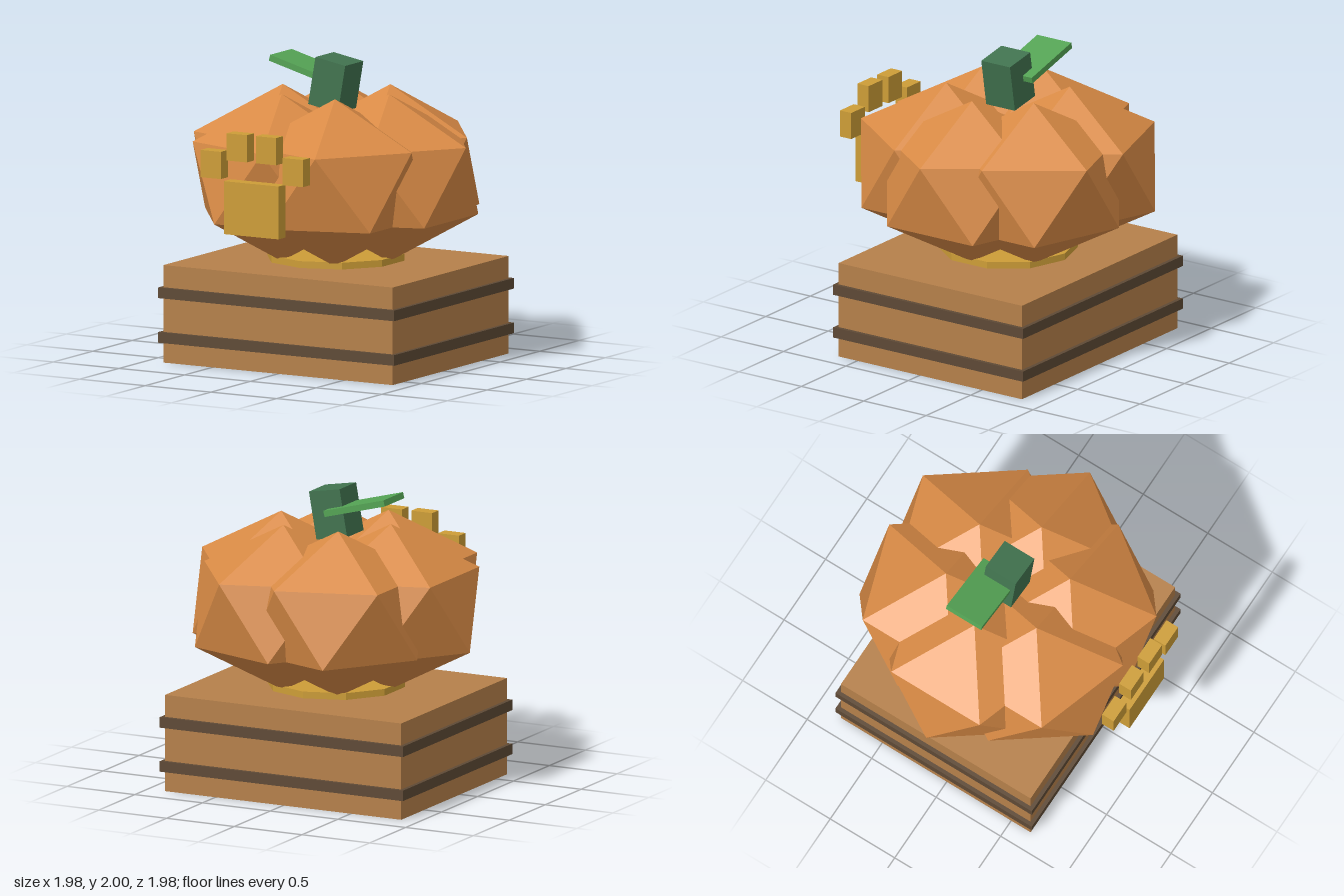
import * as THREE from 'three';

const CENTER_Z = -0.085;

function material(name, color) {
  const m = new THREE.MeshStandardMaterial({ color, flatShading: true });
  m.name = name;
  return m;
}

export function createModel() {
  const root = new THREE.Group();
  root.name = 'pumpkinOnCrate';

  const wood = material('wood', 0xb5804a);
  const darkWood = material('darkWood', 0x5e4935);
  const gold = material('gold', 0xcd9d37);
  const orange = material('pumpkinOrange', 0xd88a45);
  const stemGreen = material('stemGreen', 0x41734f);
  const leafGreen = material('leafGreen', 0x54a354);

  function add(name, geometry, mat, x, y, z, parent = root) {
    const mesh = new THREE.Mesh(geometry, mat);
    mesh.name = name;
    mesh.position.set(x, y, z);
    parent.add(mesh);
    return mesh;
  }
  const box = (w, h, d) => new THREE.BoxGeometry(w, h, d);

  // Crate with two protruding bands
  add('crate', box(1.744, 0.645, 1.47), wood, 0, 0.3225, CENTER_Z);
  for (const y of [0.168, 0.463]) {
    add('crateBand', box(1.796, 0.07, 1.522), darkWood, 0, y, CENTER_Z);
  }

  // Ten-sided plate under the pumpkin
  add('plate', new THREE.CylinderGeometry(0.457, 0.457, 0.045, 10), gold, 0, 0.683, CENTER_Z);

  // Pumpkin: six overlapping lobes, each standing on a vertex
  const pumpkin = new THREE.Group();
  pumpkin.name = 'pumpkin';
  root.add(pumpkin);
  const lobe = new THREE.IcosahedronGeometry(1, 0);
  lobe.rotateZ(-Math.atan(2 / (1 + Math.sqrt(5))));
  lobe.scale(0.652, 0.5525, 0.652);
  for (let i = 0; i < 6; i++) {
    const a = (i * Math.PI) / 3;
    add('pumpkinLobe', lobe, orange,
      0.405 * Math.cos(a), 1.226, CENTER_Z + 0.405 * Math.sin(a), pumpkin);
  }

  // Tilted stem and leaf
  const stem = add('stem', box(0.23, 0.32, 0.23), stemGreen, -0.002, 1.822, CENTER_Z);
  stem.rotation.z = THREE.MathUtils.degToRad(-10);
  const leaf = add('leaf', box(0.46, 0.041, 0.273), leafGreen, -0.232, 1.9, -0.135);
  leaf.rotation.z = THREE.MathUtils.degToRad(-15);

  // Paw emblem floating in front
  const paw = new THREE.Group();
  paw.name = 'pawEmblem';
  root.add(paw);
  add('pawPad', box(0.416, 0.35, 0.09), gold, 0, 1.13, 0.946, paw);
  for (const side of [-1, 1]) {
    add('innerToe', box(0.154, 0.18, 0.09), gold, side * 0.111, 1.533, 0.943, paw);
    add('outerToe', box(0.154, 0.18, 0.09), gold, side * 0.312, 1.405, 0.939, paw);
  }

  return root;
}
